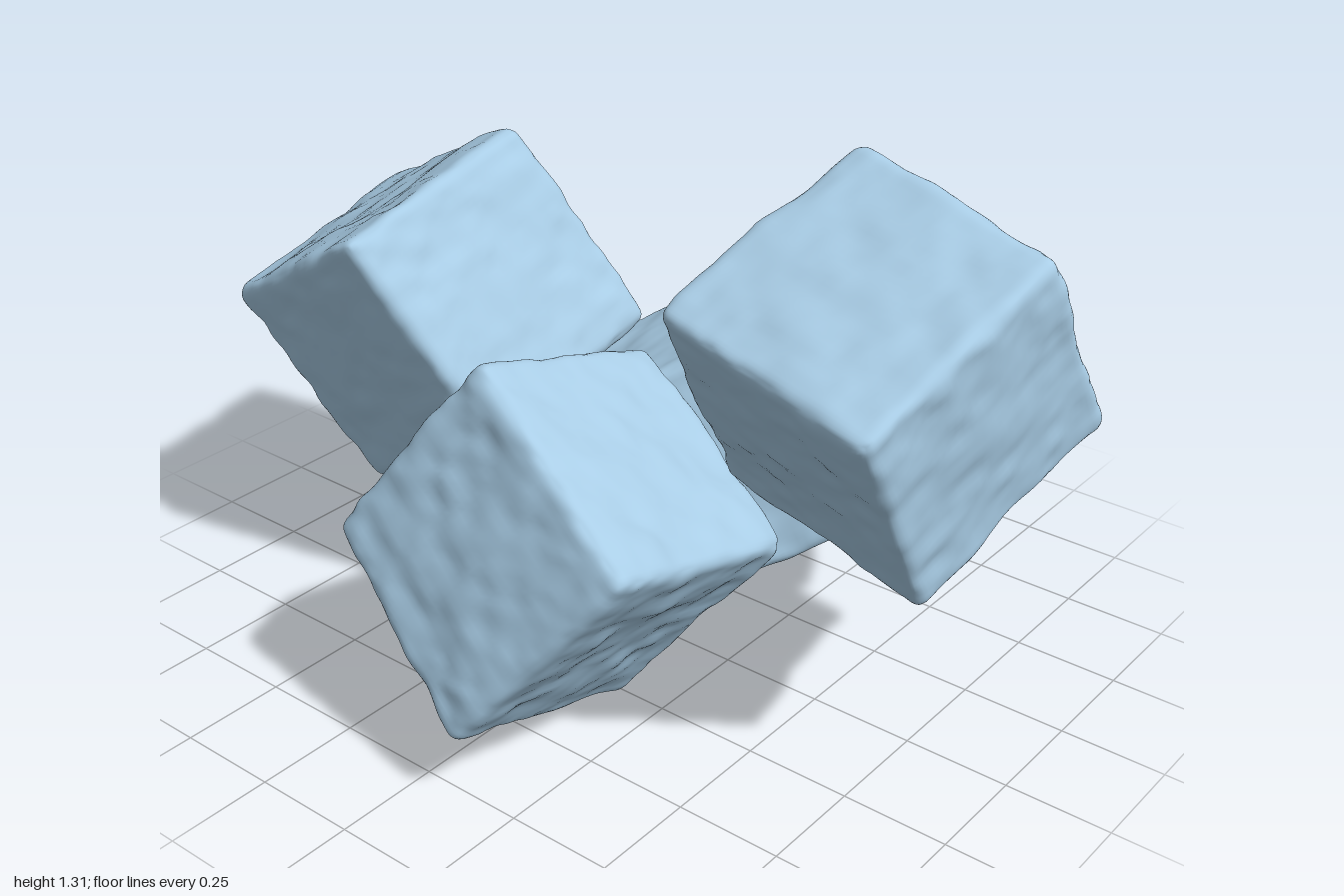
import * as THREE from 'three';
import { mergeVertices } from 'three/addons/utils/BufferGeometryUtils.js';

// Eight corners per block, x fastest, then y, then z (in the block's own axes)
const BLOCKS = {
  rightHighBlock: [0.44, 0.84, -0.39, 0.99, 0.77, -0.29, 0.48, 1.33, -0.1, 0.99, 1.23, -0.01,
    0.31, 0.58, 0.09, 0.87, 0.51, 0.2, 0.33, 1.07, 0.38, 0.9, 1.0, 0.49],
  leftBlock: [-0.72, 0.42, -0.34, -0.21, 0.68, -0.27, -0.99, 0.89, -0.2, -0.49, 1.15, -0.11,
    -0.71, 0.26, 0.2, -0.22, 0.55, 0.28, -0.99, 0.74, 0.36, -0.49, 1.02, 0.44],
  frontBlock: [-0.32, 0.31, 0.15, 0.12, 0.01, 0.26, 0, 0.76, 0, 0.46, 0.45, 0.09,
    -0.31, 0.49, 0.69, 0.13, 0.18, 0.8, 0, 0.92, 0.54, 0.47, 0.62, 0.65],
  backBlock: [-0.22, 0.01, -0.49, 0.16, 0.25, -0.81, -0.47, 0.5, -0.39, -0.07, 0.75, -0.73,
    0.07, 0.08, -0.02, 0.48, 0.33, -0.38, -0.15, 0.57, 0.05, 0.24, 0.82, -0.31],
};

const SEGMENTS = 40;
const ROUND = 0.11;
const OVERSIZE = 1.025; // makes up for the rounded corners

// Smooth value noise in -1..1
function hash(x, y, z) {
  const s = Math.sin(x * 127.1 + y * 311.7 + z * 74.7) * 43758.5453;
  return (s - Math.floor(s)) * 2 - 1;
}

function noise(x, y, z) {
  const cell = [x, y, z].map(Math.floor);
  const f = [x - cell[0], y - cell[1], z - cell[2]].map((t) => t * t * (3 - 2 * t));
  let sum = 0;
  for (let i = 0; i < 8; i++) {
    const b = [i & 1, (i >> 1) & 1, i >> 2];
    const w = b.reduce((acc, bit, k) => acc * (bit ? f[k] : 1 - f[k]), 1);
    sum += w * hash(cell[0] + b[0], cell[1] + b[1], cell[2] + b[2]);
  }
  return sum;
}

// Blend the eight corners at local position p (-1..1 on each axis)
function blendCorners(corners, p) {
  const out = new THREE.Vector3();
  for (let i = 0; i < 8; i++) {
    const w = (1 + (i & 1 ? p.x : -p.x)) * (1 + (i & 2 ? p.y : -p.y)) * (1 + (i & 4 ? p.z : -p.z)) / 8;
    out.x += corners[i * 3] * w;
    out.y += corners[i * 3 + 1] * w;
    out.z += corners[i * 3 + 2] * w;
  }
  return out;
}

// Rounded, slightly rough block stretched between its corners
function blockGeometry(corners, seed) {
  const box = new THREE.BoxGeometry(2, 2, 2, SEGMENTS, SEGMENTS, SEGMENTS);
  box.deleteAttribute('uv');
  box.deleteAttribute('normal');
  const geometry = mergeVertices(box);
  const pos = geometry.attributes.position;
  const p = new THREE.Vector3();
  const inner = new THREE.Vector3();
  const normal = new THREE.Vector3();
  const limit = 1 - ROUND;
  // Crowd the grid towards the edges so the rounding stays smooth
  const crowd = (t) => 0.5 * t + 0.5 * Math.sin(t * Math.PI / 2);

  for (let i = 0; i < pos.count; i++) {
    p.fromBufferAttribute(pos, i);
    p.set(crowd(p.x), crowd(p.y), crowd(p.z));
    inner.copy(p).clampScalar(-limit, limit);
    normal.copy(p).sub(inner).normalize();
    const rough = 0.025 * noise(p.x * 1.7 + seed, p.y * 1.7, p.z * 1.7)
      + 0.018 * noise(p.x * 4 + seed, p.y * 6, p.z * 4)
      + 0.006 * noise(p.x * 9 + seed, p.y * 11, p.z * 9);
    p.copy(inner).addScaledVector(normal, ROUND + rough).multiplyScalar(OVERSIZE);
    const v = blendCorners(corners, p);
    pos.setXYZ(i, v.x, v.y, v.z);
  }
  geometry.computeVertexNormals();
  return geometry;
}

export function createModel() {
  const group = new THREE.Group();
  group.name = 'iceBlocks';
  const material = new THREE.MeshStandardMaterial({ color: 0xa9cde6 });
  Object.entries(BLOCKS).forEach(([name, corners], i) => {
    const mesh = new THREE.Mesh(blockGeometry(corners, i * 17), material);
    mesh.name = name;
    group.add(mesh);
  });
  return group;
}
